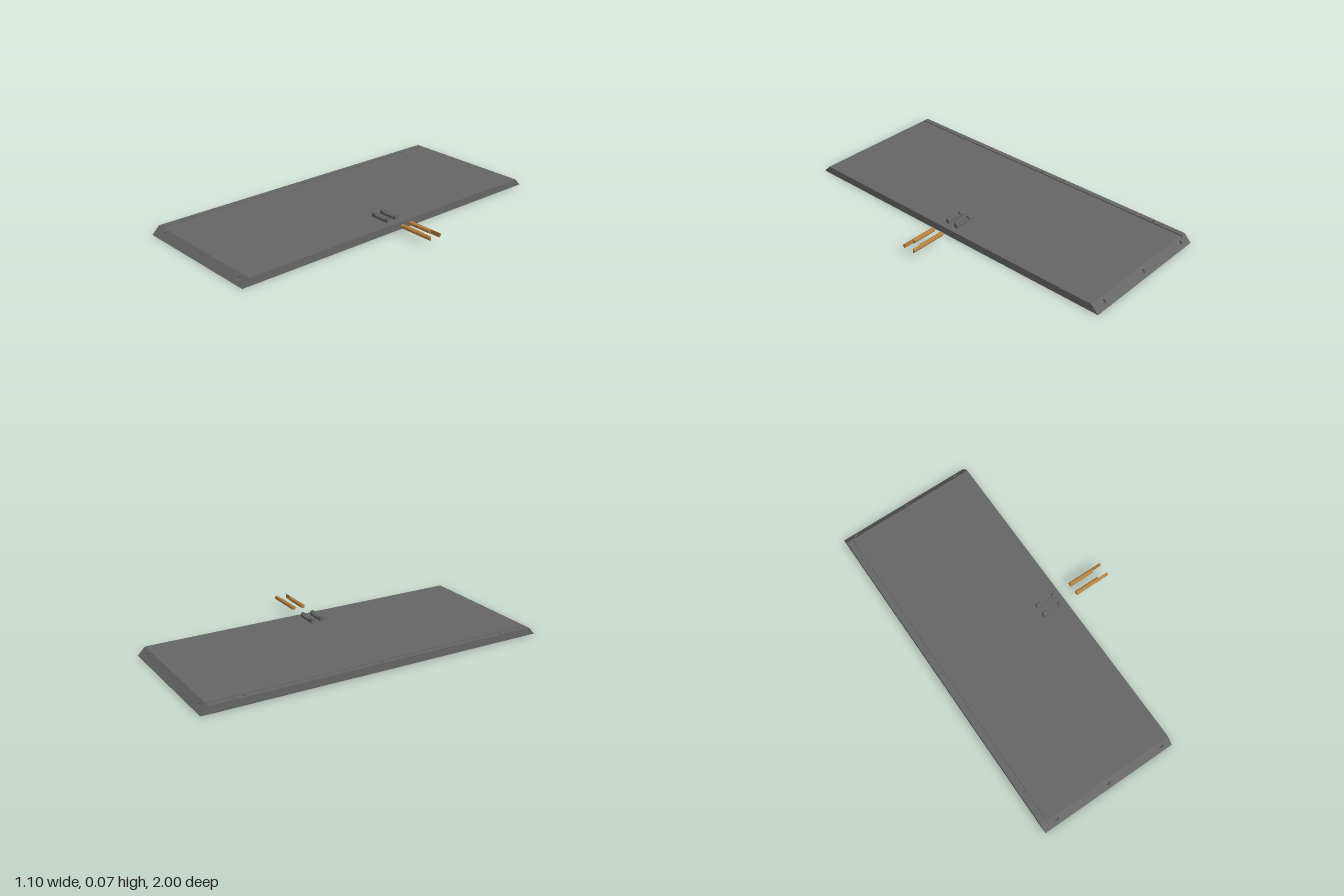
import * as THREE from 'three';
import { mergeGeometries } from 'three/addons/utils/BufferGeometryUtils.js';

const X0 = -0.55, X1 = 0.265, H = 0.043;       // panel extents
const GX0 = -0.52, GX1 = -0.512, GY = 0.032;   // groove

const panelMat = new THREE.MeshStandardMaterial({ color: 0x666666, side: THREE.DoubleSide });
const woodMat = new THREE.MeshStandardMaterial({ color: 0xb5803f });

const pts = list => list.map(([x, y]) => new THREE.Vector2(x, y));

// Points along a circular arc, angles in degrees
function arc(cx, cy, r, a0, a1, n) {
  return Array.from({ length: n + 1 }, (_, i) => {
    const a = THREE.MathUtils.degToRad(a0 + (a1 - a0) * i / n);
    return new THREE.Vector2(cx + r * Math.cos(a), cy + r * Math.sin(a));
  });
}
const circle = (cx, cy, r) => arc(cx, cy, r, 0, 342, 19);
const keyhole = (cx, cy) => [
  ...arc(cx - 0.005, cy, 0.008, 40, 320, 14),
  ...arc(cx + 0.008, cy, 0.0052, -90, 90, 8),
];

// Flat-shaded geometry from a list of quads [a, b, c, d]
function quads(list) {
  const p = [];
  for (const [a, b, c, d] of list) for (const v of [a, b, c, a, c, d]) p.push(v.x, v.y, v.z);
  const g = new THREE.BufferGeometry();
  g.setAttribute('position', new THREE.Float32BufferAttribute(p, 3));
  g.computeVertexNormals();
  return g;
}

// Face with blind pockets; map(u, v, d) places it, d = 1 at the pocket floor
function pocketFace(outline, holes, map, flip) {
  const flat = (shape, d) => {
    const g = new THREE.ShapeGeometry(shape).toNonIndexed();
    g.deleteAttribute('uv');
    const p = g.attributes.position;
    for (let i = 0; i < p.count; i += 3) {
      const t = [0, 1, 2].map(k => map(p.getX(i + k), p.getY(i + k), d));
      if (flip) t.reverse();
      t.forEach((v, k) => p.setXYZ(i + k, v.x, v.y, v.z));
    }
    g.computeVertexNormals();
    return g;
  };
  const face = new THREE.Shape(outline);
  face.holes = holes.map(h => new THREE.Path(h));
  const parts = [flat(face, 0)];
  for (const h of holes) {
    parts.push(flat(new THREE.Shape(h), 1));
    parts.push(quads(h.map((a, i) => {
      const b = h[(i + 1) % h.length];
      const q = [map(a.x, a.y, 0), map(a.x, a.y, 1), map(b.x, b.y, 1), map(b.x, b.y, 0)];
      return flip ? q : q.reverse();
    })));
  }
  return mergeGeometries(parts);
}

function addMesh(parent, name, geometry, material) {
  const m = new THREE.Mesh(geometry, material);
  m.name = name;
  parent.add(m);
  return m;
}

function makePanel() {
  const panel = new THREE.Group();
  panel.name = 'panel';
  const profile = pts([[X0, 0], [X1, 0], [X1, H], [GX1, H], [GX1, GY], [GX0, GY], [GX0, H], [X0, H]]);

  // Long faces between the mitred ends; the lip top is made separately
  const at = (p, s) => new THREE.Vector3(p.x, p.y, s * (1 - p.y));
  const sides = [];
  profile.forEach((a, i) => {
    const b = profile[(i + 1) % profile.length];
    if (i !== 6) sides.push([at(a, 1), at(a, -1), at(b, -1), at(b, 1)]);
  });
  addMesh(panel, 'panelBody', quads(sides), panelMat);

  // Mitred ends with keyhole pockets
  const ends = [['frontMitre', 1, [-0.463, -0.135, 0.209]], ['backMitre', -1, [-0.48, -0.14, 0.19]]];
  for (const [name, s, xs] of ends) {
    const map = (u, v, d) => new THREE.Vector3(u, v - 0.007 * d, s * (1 - v - 0.007 * d));
    addMesh(panel, name, pocketFace(profile, xs.map(x => keyhole(x, 0.024)), map, s < 0), panelMat);
  }

  // Lip beside the groove with small round pockets
  const e = 1 - H;
  const holes = [
    ...[-0.77, 0, 0.77].map(z => circle(-0.53, z, 0.008)),
    ...[-0.825, -0.157, 0.157, 0.825].map(z => circle(-0.535, z, 0.005)),
  ];
  addMesh(panel, 'grooveLip', pocketFace(pts([[X0, -e], [GX0, -e], [GX0, e], [X0, e]]), holes,
    (u, v, d) => new THREE.Vector3(u, H - 0.011 * d, v), true), panelMat);
  return panel;
}

// Holder with two round-topped ends and a lower, perforated bridge
function makeHolder(z) {
  const holder = new THREE.Group();
  holder.name = 'dowelHolder';
  const r = 0.012;
  const arch = new THREE.Shape([...pts([[-r, 0], [r, 0]]), ...arc(0, 0.0155, r, 0, 180, 14)]);
  for (const [x, length] of [[0.11, 0.025], [0.214, 0.015]]) {
    const g = new THREE.ExtrudeGeometry(arch, { depth: length, bevelEnabled: false });
    addMesh(holder, 'holderEnd', g.rotateY(Math.PI / 2).translate(x, H, 0), panelMat);
  }
  addMesh(holder, 'holderBridge', new THREE.BoxGeometry(0.08, 0.011, 2 * r)
    .translate(0.1745, H + 0.0055, 0), panelMat);
  const plate = new THREE.Shape(pts([[0.134, -r], [0.215, -r], [0.215, r], [0.134, r]]));
  plate.holes = [0.146, 0.165, 0.184, 0.203].map(x => new THREE.Path(circle(x, 0, 0.005)));
  addMesh(holder, 'bridgePlate', new THREE.ExtrudeGeometry(plate, { depth: 0.004, bevelEnabled: false })
    .rotateX(-Math.PI / 2).translate(0, H + 0.011, 0), panelMat);
  holder.position.z = z;
  return holder;
}

// Dowel with a half-lapped outer end; the half that stays faces away from the other dowel
function makeDowel(z) {
  const dowel = new THREE.Group();
  dowel.name = 'dowel';
  const r = 0.012, s = Math.sign(z);
  addMesh(dowel, 'dowelShaft', new THREE.CylinderGeometry(r, r, 0.15, 28)
    .rotateZ(Math.PI / 2).translate(0.41, 0, 0), woodMat);
  const half = new THREE.Shape(arc(0, 0, r, s > 0 ? 90 : -90, s > 0 ? 270 : 90, 16));
  addMesh(dowel, 'dowelHalfLap', new THREE.ExtrudeGeometry(half, { depth: 0.06, bevelEnabled: false })
    .rotateY(Math.PI / 2).translate(0.485, 0, 0), woodMat);
  dowel.position.set(0, 0.059, z);
  return dowel;
}

export function createModel() {
  const model = new THREE.Group();
  model.name = 'mitredPanelWithDowels';
  model.add(makePanel());
  for (const z of [-0.031, 0.029]) model.add(makeHolder(z), makeDowel(z));
  return model;
}
